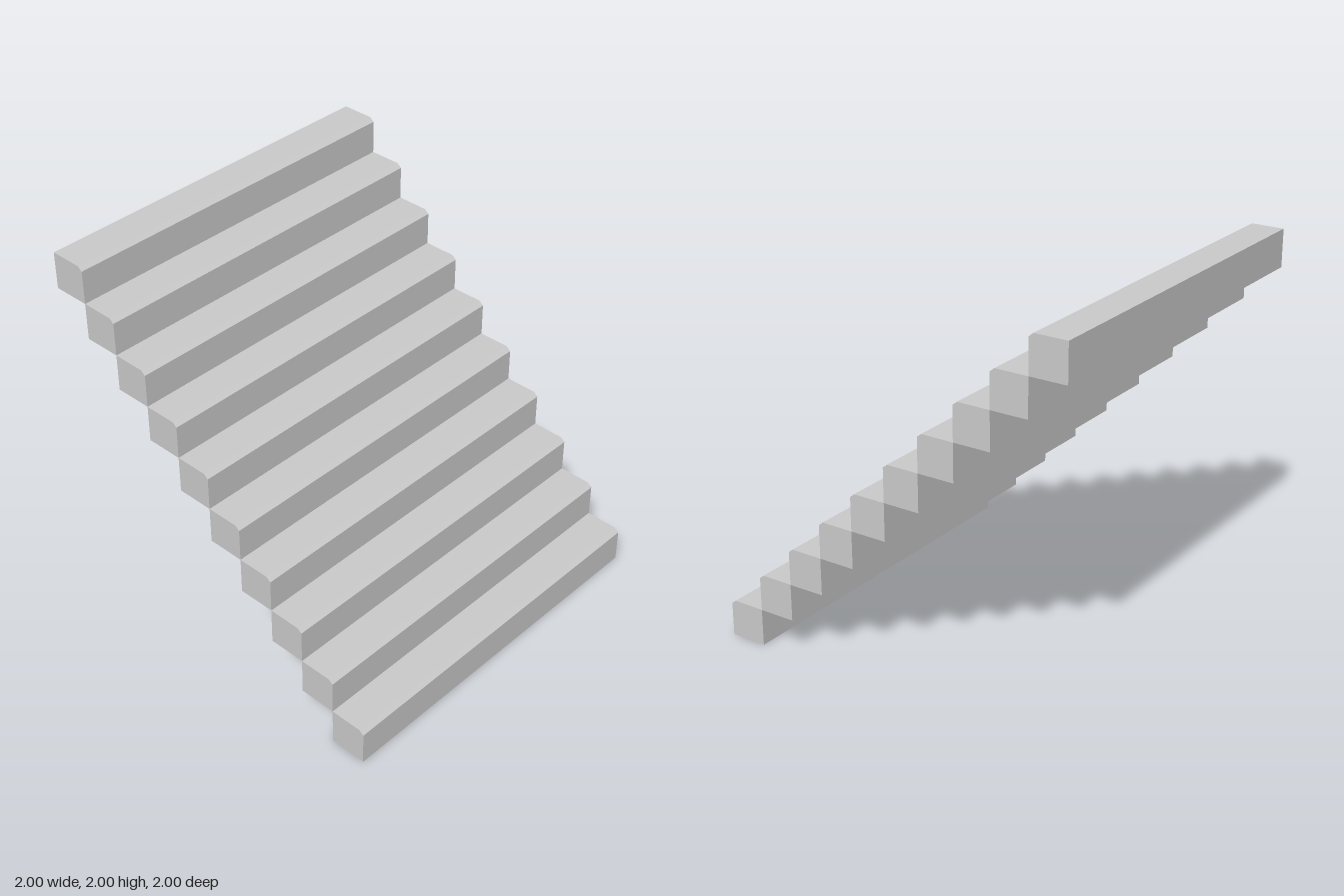
import * as THREE from 'three';

const STEPS = 10, SIZE = 0.2, WIDTH = 2;
const BEVEL_Z = 0.024, BEVEL_Y = 0.02;

// Side profile of one step: a square block with a chamfered front top edge
function stepGeometry() {
  const h = SIZE / 2;
  const profile = new THREE.Shape([
    new THREE.Vector2(-h, 0),
    new THREE.Vector2(h, 0),
    new THREE.Vector2(h, SIZE - BEVEL_Y),
    new THREE.Vector2(h - BEVEL_Z, SIZE),
    new THREE.Vector2(-h, SIZE),
  ]);
  const geometry = new THREE.ExtrudeGeometry(profile, { depth: WIDTH, bevelEnabled: false });
  geometry.translate(0, 0, -WIDTH / 2);
  geometry.rotateY(-Math.PI / 2); // profile x becomes z, extrusion runs along x
  return geometry;
}

export function createModel() {
  const staircase = new THREE.Group();
  staircase.name = 'staircase';
  const material = new THREE.MeshStandardMaterial({ color: 0xcccccc, flatShading: true });
  const geometry = stepGeometry();

  // Steps rise from the front to the back, meeting edge to edge
  for (let i = 0; i < STEPS; i++) {
    const step = new THREE.Mesh(geometry, material);
    step.name = `step${i + 1}`;
    step.position.set(0, i * SIZE, 1 - SIZE * (i + 0.5));
    staircase.add(step);
  }
  return staircase;
}
